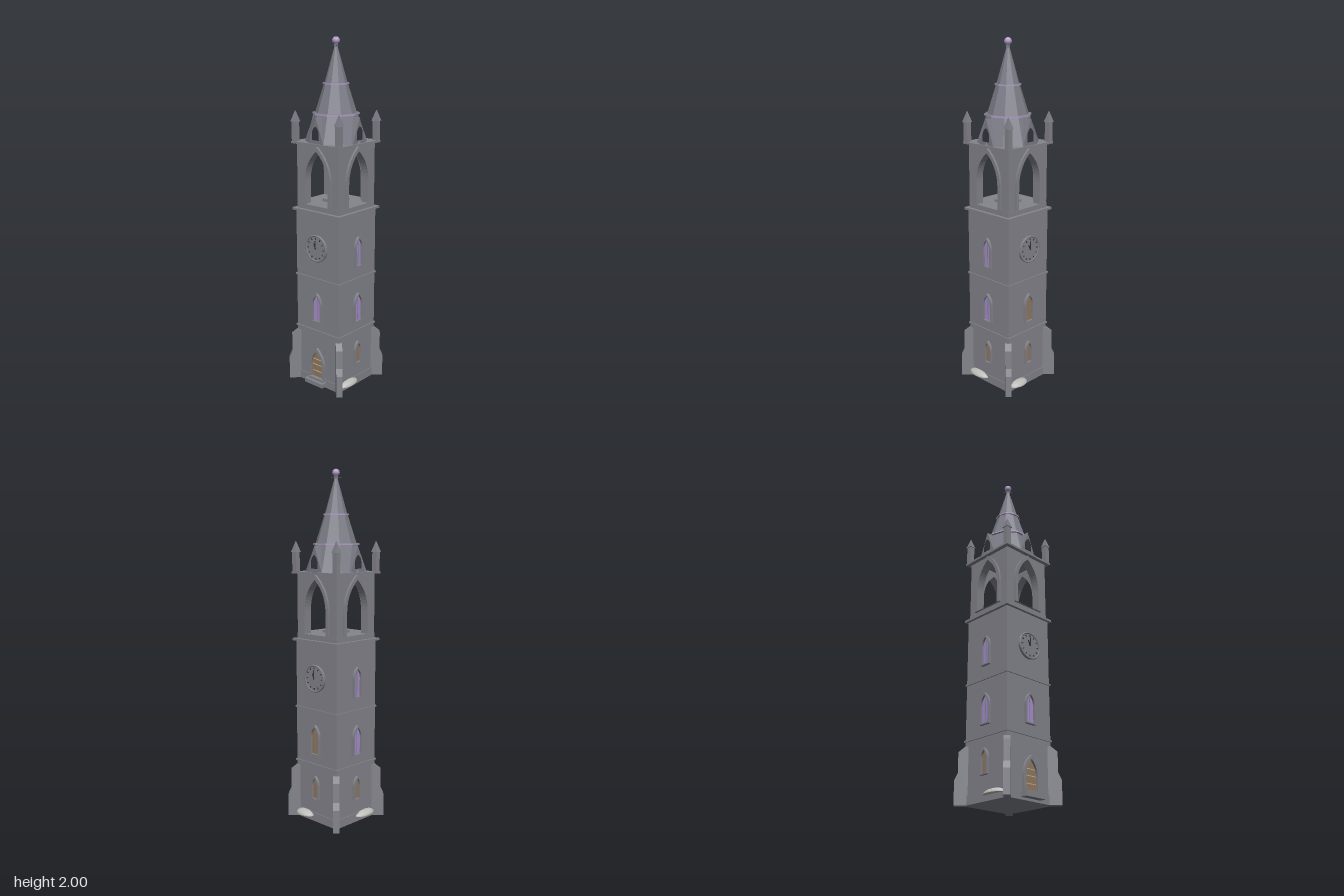
import * as THREE from 'three';

const mat = (name, color) => {
  const m = new THREE.MeshStandardMaterial({ color });
  m.name = name;
  return m;
};

export function createModel() {
  const stone = mat('stone', 0x84858c);
  const slate = mat('slate', 0x7d7e88);
  const lilac = mat('lilac', 0xb39cc8);
  const glass = mat('glass', 0xa98fd0);
  const wood = mat('wood', 0x94795c);
  const dark = mat('dark', 0x34353f);
  const pale = mat('pale', 0xbdbdba);

  const tower = new THREE.Group();
  tower.name = 'clockTower';

  const add = (parent, name, geo, material, x = 0, y = 0, z = 0) => {
    const m = new THREE.Mesh(geo, material);
    m.name = name;
    m.position.set(x, y, z);
    parent.add(m);
    return m;
  };
  // Box given by its bottom height and top height
  const block = (parent, name, w, y0, y1, d, material, x = 0, z = 0) =>
    add(parent, name, new THREE.BoxGeometry(w, y1 - y0, d), material, x, (y0 + y1) / 2, z);
  // Faceted prism or frustum
  const prism = (parent, name, rTop, rBottom, y0, y1, sides, material, turn = 0) => {
    const g = new THREE.CylinderGeometry(rTop, rBottom, y1 - y0, sides).toNonIndexed();
    g.computeVertexNormals();
    const m = add(parent, name, g, material, 0, (y0 + y1) / 2, 0);
    m.rotation.y = turn;
    return m;
  };
  // Pointed arch outline
  const arch = (w, y0, spring, apex, Type = THREE.Shape) => {
    const s = new Type();
    const bend = spring + (apex - spring) * 0.6;
    s.moveTo(-w, y0);
    s.lineTo(w, y0);
    s.lineTo(w, spring);
    s.quadraticCurveTo(w, bend, 0, apex);
    s.quadraticCurveTo(-w, bend, -w, spring);
    s.lineTo(-w, y0);
    return s;
  };
  const extrude = (shape, depth) =>
    new THREE.ExtrudeGeometry(shape, { depth, bevelEnabled: false, curveSegments: 10 });
  const side = (i) => {
    const g = new THREE.Group();
    g.name = ['front', 'rightSide', 'back', 'leftSide'][i];
    g.rotation.y = i * Math.PI / 2;
    tower.add(g);
    return g;
  };
  const W = 0.16; // half width of the shaft

  // Raised frame around a thin coloured pane
  const opening = (parent, name, w, y0, apex, rim, material) => {
    const spring = apex - w * 2;
    const frame = arch(w, y0, spring, apex);
    frame.holes.push(arch(w - rim, y0 + rim * 0.7, spring, apex - rim * 1.5, THREE.Path));
    add(parent, name + 'Frame', extrude(frame, 0.016), stone, 0, 0, W);
    add(parent, name + 'Pane', extrude(arch(w - rim, y0 + rim * 0.5, spring, apex - rim * 1.4), 0.004), material, 0, 0, W);
  };

  // Shaft, plinth, string courses and cornice
  block(tower, 'shaft', 2 * W, 0, 1.05, 2 * W, stone);
  block(tower, 'plinth', 0.328, 0, 0.05, 0.328, stone);
  for (const y of [0.335, 0.655]) block(tower, 'stringCourse', 0.332, y, y + 0.01, 0.332, stone);
  block(tower, 'cornice', 0.352, 1.045, 1.058, 0.352, stone);
  block(tower, 'belfryFloor', 0.31, 1.058, 1.09, 0.31, stone);
  block(tower, 'belfryTopPlate', 0.354, 1.425, 1.437, 0.354, stone);

  for (let i = 0; i < 4; i++) {
    const s = side(i);
    // Windows, door and clocks
    if (i === 0) {
      opening(s, 'door', 0.057, 0.04, 0.235, 0.015, wood);
      for (const y of [0.085, 0.125, 0.16]) block(s, 'doorStrap', 0.076, y, y + 0.004, 0.004, pale, 0, W + 0.004);
      block(s, 'lowerStep', 0.138, 0.013, 0.037, 0.06, stone, 0, 0.173);
      block(s, 'upperStep', 0.11, 0.037, 0.05, 0.04, stone, 0, 0.165);
    } else opening(s, 'lowWindow', 0.028, 0.135, 0.275, 0.009, wood);
    opening(s, 'middleWindow', 0.036, 0.4, 0.575, 0.009, i === 2 ? wood : glass);
    block(s, 'middleMullion', 0.003, 0.407, 0.55, 0.004, stone, 0, W + 0.004);
    if (i % 2) {
      opening(s, 'upperWindow', 0.032, 0.735, 0.91, 0.008, glass);
      block(s, 'upperMullion', 0.003, 0.742, 0.885, 0.004, stone, 0, W + 0.004);
    } else {
      const clock = new THREE.Group();
      clock.name = 'clock';
      clock.position.set(0, 0.845, W);
      s.add(clock);
      const disc = add(clock, 'clockFace', new THREE.CylinderGeometry(0.076, 0.076, 0.012, 40), stone, 0, 0, 0.006);
      disc.rotation.x = Math.PI / 2;
      add(clock, 'clockRim', new THREE.TorusGeometry(0.074, 0.005, 6, 40), stone, 0, 0, 0.012);
      for (let k = 0; k < 12; k++) {
        const a = k * Math.PI / 6;
        const tick = add(clock, 'hourMark', new THREE.BoxGeometry(0.004, 0.01, 0.004), dark, Math.sin(a) * 0.059, Math.cos(a) * 0.059, 0.014);
        tick.rotation.z = -a;
      }
      add(clock, 'minuteHand', new THREE.BoxGeometry(0.004, 0.05, 0.004), dark, 0, 0.022, 0.018);
      const hour = add(clock, 'hourHand', new THREE.BoxGeometry(0.005, 0.034, 0.004), dark, -0.006, 0.013, 0.016);
      hour.rotation.z = 0.42;
    }

    // Open belfry wall with its raised arch
    const wall = new THREE.Shape();
    wall.moveTo(-0.154, 1.058);
    wall.lineTo(0.154, 1.058);
    wall.lineTo(0.154, 1.425);
    wall.lineTo(-0.154, 1.425);
    wall.closePath();
    wall.holes.push(arch(0.083, 1.09, 1.22, 1.395, THREE.Path));
    add(s, 'belfryWall', extrude(wall, 0.035), stone, 0, 0, 0.119);
    const rim = arch(0.103, 1.09, 1.22, 1.423);
    rim.holes.push(arch(0.083, 1.0901, 1.22, 1.395, THREE.Path));
    add(s, 'belfryArch', extrude(rim, 0.013), stone, 0, 0, 0.154);

    // Gabled dormer with a dark arched louvre
    const gable = new THREE.Shape([[-0.055, 1.437], [0.055, 1.437], [0, 1.58]].map((p) => new THREE.Vector2(...p)));
    add(s, 'dormer', extrude(gable, 0.09), slate, 0, 0, 0.078);
    add(s, 'dormerLouvre', extrude(arch(0.023, 1.457, 1.49, 1.532), 0.004), dark, 0, 0, 0.168);

    // Diagonal stepped buttress
    const corner = new THREE.Group();
    corner.name = 'buttress';
    corner.rotation.y = Math.PI / 4;
    s.add(corner);
    const profile = [[0.15, 0], [0.28, 0], [0.28, 0.13], [0.262, 0.17], [0.262, 0.28], [0.225, 0.31], [0.15, 0.31]];
    const butt = add(corner, 'buttressBody', extrude(new THREE.Shape(profile.map((p) => new THREE.Vector2(...p))), 0.036), stone, -0.018);
    butt.rotation.y = -Math.PI / 2;
    butt.position.x = 0.018;

    // Corner pinnacle
    const pin = new THREE.Group();
    pin.name = 'pinnacle';
    pin.position.set(0.159, 0, 0.159);
    s.add(pin);
    block(pin, 'pinnacleShaft', 0.03, 1.437, 1.545, 0.03, stone);
    prism(pin, 'pinnacleCap', 0.002, 0.028, 1.545, 1.605, 4, slate, Math.PI / 4);
  }

  // Bell resting on its stand
  block(tower, 'bellStand', 0.11, 1.09, 1.105, 0.11, stone);
  prism(tower, 'bellBase', 0.038, 0.046, 1.105, 1.135, 16, stone);
  prism(tower, 'bellCap', 0.034, 0.036, 1.135, 1.15, 12, dark);

  // Ten-sided spire in three stages with lilac-edged rings
  const turn = Math.PI / 2;
  prism(tower, 'lowerSpire', 0.12, 0.174, 1.437, 1.588, 10, slate, turn);
  prism(tower, 'middleSpire', 0.066, 0.118, 1.588, 1.75, 10, slate, turn);
  prism(tower, 'upperSpire', 0.007, 0.065, 1.75, 1.955, 10, slate, turn);
  prism(tower, 'lowerRing', 0.132, 0.132, 1.585, 1.594, 10, [lilac, stone, stone], turn);
  prism(tower, 'upperRing', 0.074, 0.074, 1.748, 1.756, 10, [lilac, stone, stone], turn);

  // Finial
  prism(tower, 'finialCollar', 0.012, 0.012, 1.945, 1.962, 10, slate);
  add(tower, 'finialBall', new THREE.SphereGeometry(0.021, 16, 12), lilac, 0, 1.979, 0);
  for (let i = 0; i < 2; i++) {
    const spoke = block(tower, 'finialSpoke', 0.058, 1.951, 1.955, 0.004, dark);
    spoke.rotation.y = Math.PI / 4 + i * Math.PI / 2;
  }

  // Pale drifts against the foot of the walls
  const dome = new THREE.SphereGeometry(1, 24, 8, 0, Math.PI * 2, 0, Math.PI / 2);
  for (const [x, z, rx, rz] of [[-0.16, 0.07, 0.04, 0.075], [0.16, 0.08, 0.038, 0.075], [0.085, -0.165, 0.065, 0.042]]) {
    const d = new THREE.Group();
    d.name = 'drift';
    d.position.set(x, 0.03, z);
    d.scale.set(rx, 0.026, rz);
    add(d, 'driftTop', dome, pale);
    add(d, 'driftUnderside', new THREE.CircleGeometry(1, 24), pale).rotation.x = Math.PI / 2;
    tower.add(d);
  }
  return tower;
}
